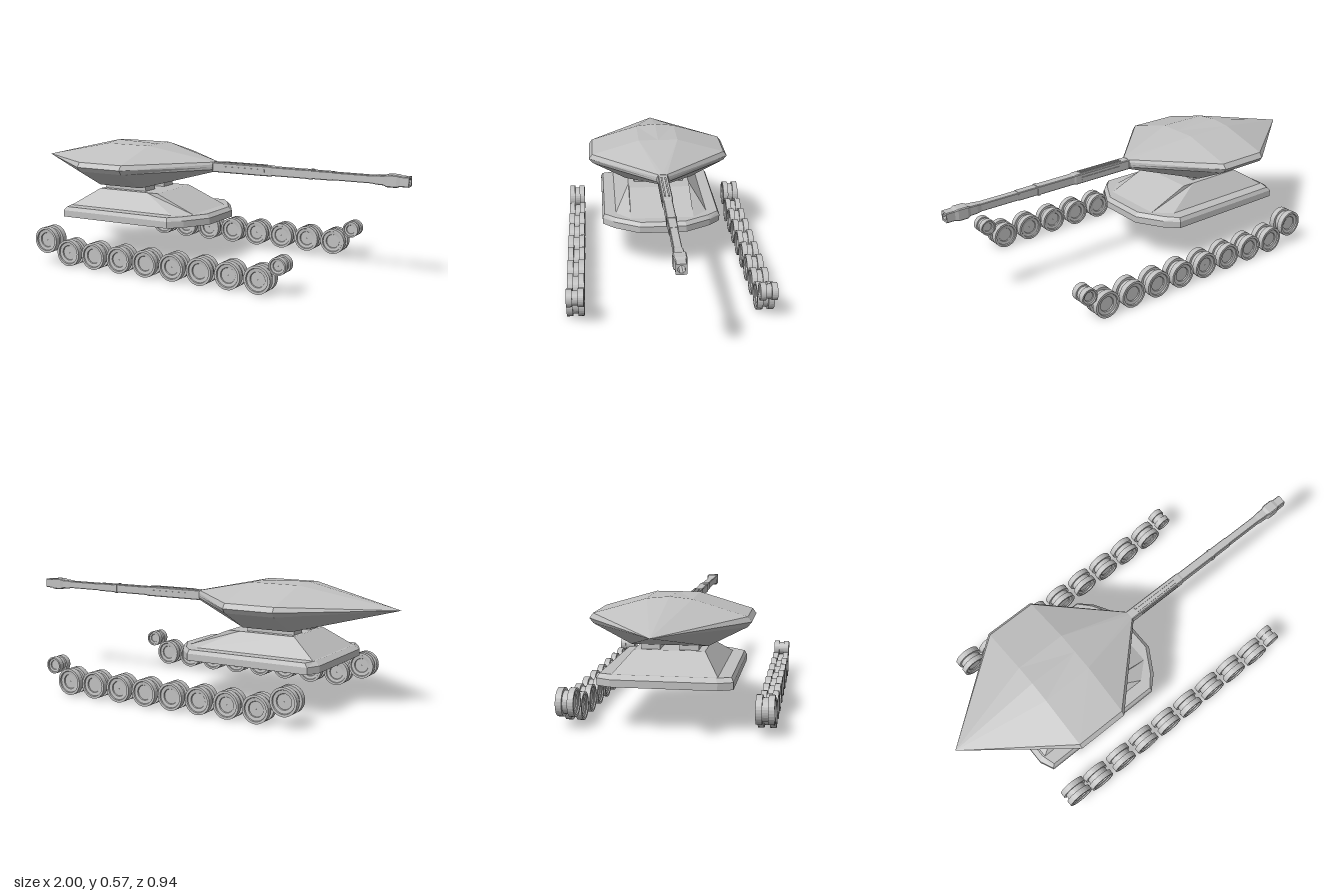
import * as THREE from 'three';

const grey = new THREE.MeshStandardMaterial({ color: 0xc0c0c0, flatShading: true });
grey.name = 'plain grey';

// Skin between equal-length rings of [x, y, z], capped, with mirrored diagonals
function loft(rings) {
  const pos = [];
  const tri = (a, b, c) => pos.push(...a, ...b, ...c);
  const n = rings[0].length;
  for (let i = 0; i < rings.length - 1; i++) {
    for (let j = 0; j < n; j++) {
      const k = (j + 1) % n, p = rings[i], q = rings[i + 1];
      if (j < Math.floor((n - 1) / 2)) {
        tri(p[j], p[k], q[j]);
        tri(p[k], q[k], q[j]);
      } else {
        tri(p[j], p[k], q[k]);
        tri(p[j], q[k], q[j]);
      }
    }
  }
  const first = rings[0], last = rings[rings.length - 1];
  for (let j = 1; j < n - 1; j++) {
    tri(first[0], first[j + 1], first[j]);
    tri(last[0], last[j], last[j + 1]);
  }
  const geo = new THREE.BufferGeometry();
  geo.setAttribute('position', new THREE.Float32BufferAttribute(pos, 3));
  geo.computeVertexNormals();
  return geo;
}

// Complete half a ring (z >= 0) by mirroring it across z = 0
const mirrorRing = (half) => [
  ...half,
  ...half.filter((p) => p[2] !== 0).reverse().map(([x, y, z]) => [x, y, -z]),
];
// Ring across the x axis from [z, y] pairs, top to bottom
const section = (x, half) => mirrorRing(half.map(([z, y]) => [x, y, z]));
// Level ring from [x, z] pairs, rear to front
const level = (y, half) => mirrorRing(half.map(([x, z]) => [x, y, z]));

export function createModel() {
  const model = new THREE.Group();
  const add = (name, geo, parent = model) => {
    const mesh = new THREE.Mesh(geo, grey);
    mesh.name = name;
    parent.add(mesh);
    return mesh;
  };
  const box = (name, w, h, d, x, y, z) =>
    add(name, new THREE.BoxGeometry(w, h, d)).position.set(x, y, z);

  // Hull plate with a bevelled upper edge
  const plate = [[-0.72, 0.23], [-0.69, 0.295], [-0.08, 0.295], [-0.02, 0.237], [0.052, 0.115]];
  const plateTop = [[-0.695, 0.22], [-0.675, 0.285], [-0.085, 0.285], [-0.035, 0.23], [0.035, 0.11]];
  add('hullPlate', loft([level(0.2, plate), level(0.232, plate), level(0.25, plateTop)]));

  // Sloped superstructure
  add('superstructure', loft([
    level(0.248, [[-0.69, 0.23], [-0.09, 0.23], [-0.01, 0.157]]),
    level(0.335, [[-0.56, 0.157], [-0.28, 0.157], [-0.22, 0.155]]),
  ]));

  // Two supports under the turret
  for (const s of [1, -1]) box('turretSupport', 0.24, 0.04, 0.084, -0.425, 0.35, s * 0.085);

  // Faceted turret, pointed at the rear
  const body = (ridge) => [
    [0, ridge], [0.1, 0.56], [0.34, 0.49], [0.357, 0.467], [0.34, 0.445], [0.17, 0.357],
  ];
  add('turret', loft([
    section(-1, body(0.57).map(([z]) => [z * 0.001, 0.467])),
    section(-0.55, body(0.57)),
    section(-0.305, body(0.56)),
    section(0.02, [[0, 0.493], [0.02, 0.491], [0.028, 0.48], [0.03, 0.467], [0.028, 0.455], [0.018, 0.443]]),
  ]));

  // Square gun with softened edges and a round hollow muzzle: [x, half size, flat share]
  const gunY = 0.467;
  const square = (x, h, flat = 0.85, c = h * flat) =>
    section(x, [[c, gunY + h], [h, gunY + c], [h, gunY - c], [c, gunY - h]]);
  add('gunBarrel', loft([
    [0, 0.024], [0.33, 0.024], [0.34, 0.021], [0.525, 0.021], [0.525, 0.023], [0.54, 0.023],
    [0.54, 0.02], [0.64, 0.02], [0.64, 0.018], [0.83, 0.018], [0.85, 0.021], [0.885, 0.022],
    [0.9, 0.028], [0.945, 0.028], [0.96, 0.023], [1, 0.023], [1, 0.015, 0.41], [0.9, 0.015, 0.41],
  ].map((s) => square(...s))));

  // Raised strips along the barrel
  for (const s of [1, -1]) {
    box('barrelSideStrip', 0.22, 0.014, 0.006, 0.19, gunY, s * 0.024);
    box('barrelEdgeStrip', 0.24, 0.006, 0.008, 0.18, gunY + 0.024, s * 0.009);
  }

  // Twin-rim wheel profile with dished faces: half of it as [radius, z]
  const rim = [
    [0.001, 0.027], [0.034, 0.027], [0.036, 0.032], [0.051, 0.034],
    [0.053, 0.04], [0.064, 0.04], [0.064, 0.0125], [0.052, 0.0125],
  ];
  const profile = [...rim.map(([r, z]) => [r, -z]), ...rim.slice().reverse()]
    .map(([r, z]) => new THREE.Vector2(r, z));
  const wheelGeo = new THREE.LatheGeometry(profile, 28).rotateX(Math.PI / 2);

  for (const s of [1, -1]) {
    const row = new THREE.Group();
    row.name = s > 0 ? 'frontWheelRow' : 'backWheelRow';
    row.position.z = s * 0.43;
    model.add(row);
    for (let i = 0; i < 8; i++) {
      add('roadWheel', wheelGeo, row).position.set(-0.532 + i * 0.1453, 0.064, 0);
    }
    add('rearWheel', wheelGeo, row).position.set(-0.665, 0.114, 0);
    const small = add('smallWheel', wheelGeo, row);
    small.position.set(0.58, 0.135, 0);
    small.scale.set(0.63, 0.63, 0.97);
  }
  return model;
}
